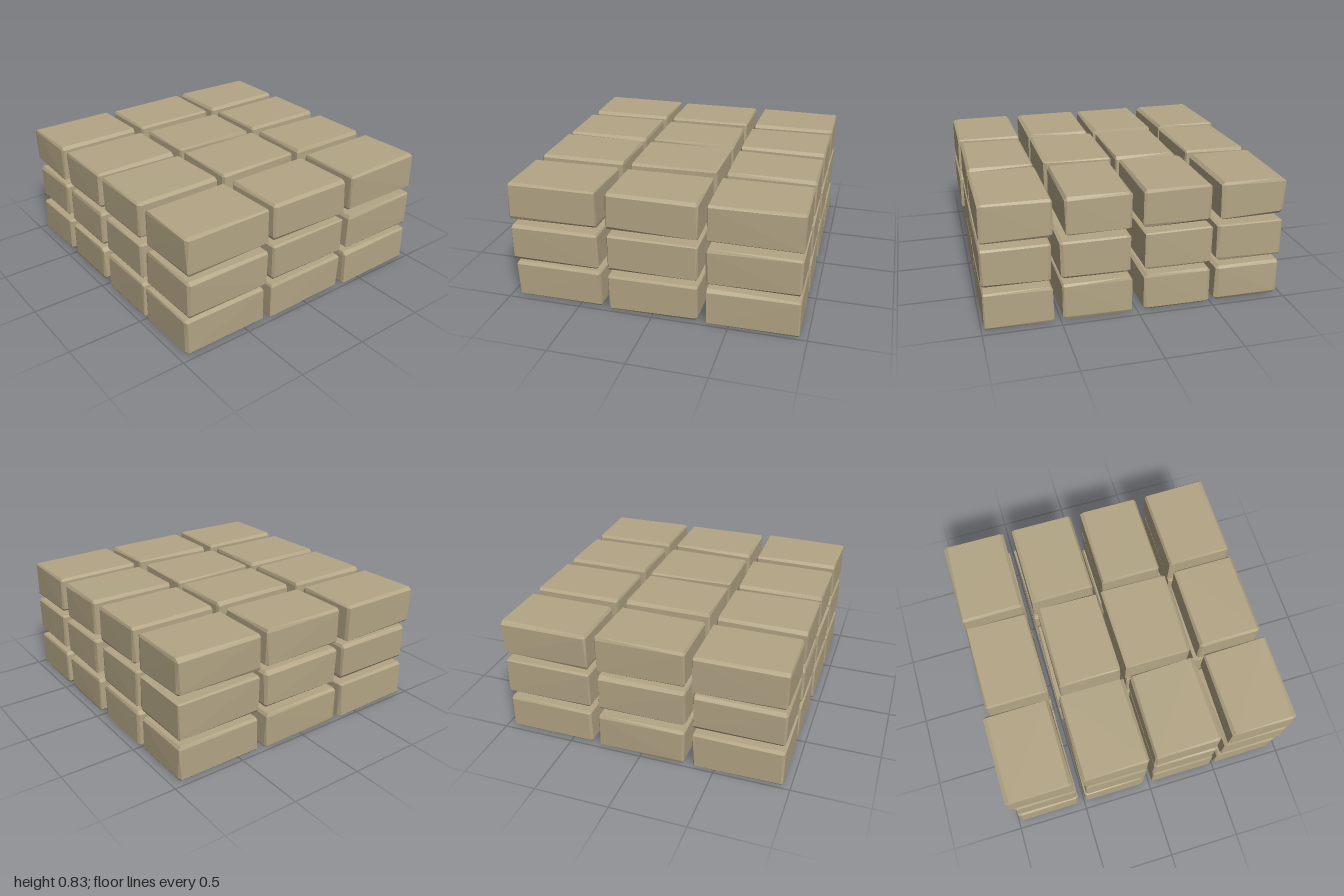
import * as THREE from 'three';
import { ConvexGeometry } from 'three/addons/geometries/ConvexGeometry.js';

// Left and right x limits of the four bricks: [layer][row], bottom to top and back to front
const LAYERS = [
  [
    [-0.975, -0.525, -0.495, -0.04, 0.03, 0.49, 0.54, 0.985],
    [-0.985, -0.53, -0.495, -0.035, 0.02, 0.485, 0.525, 0.98],
    [-0.985, -0.535, -0.49, -0.04, 0.02, 0.485, 0.505, 0.97],
  ],
  [
    [-0.975, -0.525, -0.495, -0.045, 0.045, 0.5, 0.55, 0.99],
    [-0.97, -0.53, -0.49, -0.035, 0.015, 0.48, 0.53, 0.985],
    [-0.975, -0.535, -0.475, -0.03, 0.015, 0.48, 0.525, 1.0],
  ],
  [
    [-0.98, -0.535, -0.48, -0.03, 0.035, 0.465, 0.535, 0.985],
    [-0.97, -0.53, -0.46, -0.025, 0.005, 0.475, 0.54, 0.985],
    [-1.0, -0.545, -0.485, -0.025, 0.01, 0.475, 0.54, 0.995],
  ],
];
const LAYER_Y = [0.125, 0.415, 0.705];
const ROW_Z = [-0.65, 0, 0.65];
const HEIGHT = 0.25;
const DEPTH = 0.6;

// Small seeded generator for the hand-cut edges
function seeded(seed) {
  let s = seed;
  return () => {
    s = (s * 16807) % 2147483647;
    return s / 2147483647;
  };
}

// Block with unevenly chamfered corners, each corner becoming three points
function brickGeometry(w, h, d, rand) {
  const points = [];
  const cut = (min, max) => min + (max - min) * rand();
  for (const sx of [-1, 1]) for (const sy of [-1, 1]) for (const sz of [-1, 1]) {
    const x = w / 2 - cut(0, 0.007);
    const y = h / 2 - cut(0, 0.003);
    const z = d / 2 - cut(0, 0.005);
    const cx = cut(0.008, 0.03);
    const cy = cut(0.006, 0.024);
    const cz = cut(0.004, 0.016);
    points.push(
      new THREE.Vector3(sx * x, sy * (y - cy), sz * (z - cz)),
      new THREE.Vector3(sx * (x - cx), sy * y, sz * (z - cz)),
      new THREE.Vector3(sx * (x - cx), sy * (y - cy), sz * z),
    );
  }
  return new ConvexGeometry(points);
}

export function createModel() {
  const group = new THREE.Group();
  group.name = 'brickStack';
  const stone = new THREE.MeshStandardMaterial({ color: 0xb3a585 });
  stone.name = 'sandstone';
  const rand = seeded(4127);

  LAYERS.forEach((rows, layer) => {
    const course = new THREE.Group();
    course.name = `course${layer + 1}`;
    rows.forEach((limits, row) => {
      for (let i = 0; i < limits.length; i += 2) {
        const [x0, x1] = [limits[i], limits[i + 1]];
        const brick = new THREE.Mesh(brickGeometry(x1 - x0, HEIGHT, DEPTH, rand), stone);
        brick.name = 'brick';
        brick.position.set((x0 + x1) / 2, LAYER_Y[layer], ROW_Z[row]);
        course.add(brick);
      }
    });
    group.add(course);
  });
  return group;
}
